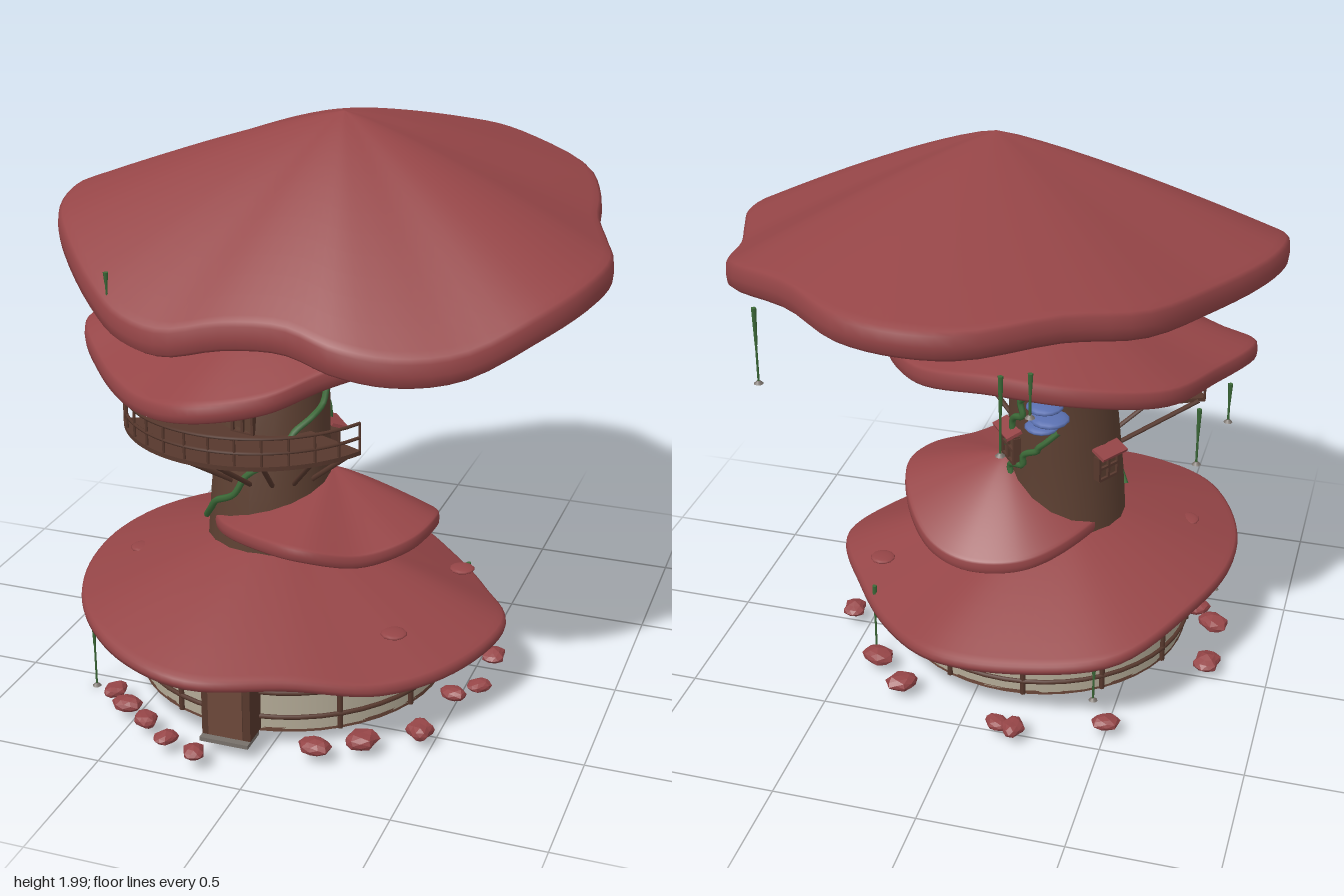
import * as THREE from 'three';

const mat = (name, color) => Object.assign(new THREE.MeshStandardMaterial({ color }), { name });
const V = (x, y, z) => new THREE.Vector3(x, y, z);

export function createModel() {
  const root = new THREE.Group();
  root.name = 'mushroomHouse';
  const red = mat('capRed', 0x954547);
  const bark = mat('barkBrown', 0x5d4032);
  const beam = mat('beamBrown', 0x57382d);
  const floorBrown = mat('floorBrown', 0x6c483a);
  const plaster = mat('plasterBeige', 0xb3aa96);
  const green = mat('vineGreen', 0x3c6a38);
  const blue = mat('fungusBlue', 0x5a70b0);
  const grey = mat('stoneGrey', 0x77706a);

  const add = (name, geo, m, pos, parent = root) => {
    const mesh = new THREE.Mesh(geo, m);
    mesh.name = name;
    if (pos) mesh.position.copy(pos);
    parent.add(mesh);
    return mesh;
  };
  // Straight bar between two points
  const bar = (name, a, b, r, m, sides = 6, r2 = r) => {
    const mesh = add(name, new THREE.CylinderGeometry(r2, r, a.distanceTo(b), sides), m, a.clone().lerp(b, 0.5));
    mesh.quaternion.setFromUnitVectors(V(0, 1, 0), b.clone().sub(a).normalize());
  };

  // Wavy cap: closed rim curve, domed top, rolled lip and hollow underside
  const cap = (name, apex, th, rimPts) => {
    const n = 96;
    const rim = new THREE.CatmullRomCurve3(rimPts.map(p => V(...p)), true).getPoints(n).slice(0, n);
    const section = [];
    for (let j = 0; j <= 12; j++) section.push([j * 0.08, 0]);
    section.push([0.985, 0], [0.998, -0.06], [1.002, -0.4], [0.998, -0.75], [0.98, -0.97], [0.955, -1], [0.92, -0.88]);
    for (let j = 8; j >= 0; j--) section.push([j * 0.11, -0.75]);
    const pos = [], idx = [];
    section.forEach(([t, d]) => rim.forEach(p => pos.push(
      apex.x + (p.x - apex.x) * t,
      apex.y - (apex.y - p.y) * Math.pow(t, 1.2) + d * th,
      apex.z + (p.z - apex.z) * t)));
    for (let j = 0; j < section.length - 1; j++) for (let i = 0; i < n; i++) {
      const k = (i + 1) % n, a = j * n + i, b = a + n, c = (j + 1) * n + k, e = j * n + k;
      idx.push(a, b, c, a, c, e);
    }
    const geo = new THREE.BufferGeometry();
    geo.setAttribute('position', new THREE.Float32BufferAttribute(pos, 3));
    geo.setIndex(idx);
    geo.computeVertexNormals();
    add(name, geo, red);
  };
  cap('topCap', V(0.02, 2, 0.06), 0.1, [
    [-0.125, 1.485, 0.79], [0.08, 1.5, 0.8], [0.26, 1.465, 0.84], [0.44, 1.44, 0.81], [0.625, 1.45, 0.71],
    [0.805, 1.53, 0.52], [0.905, 1.58, 0.335], [0.935, 1.605, 0.13], [0.88, 1.62, -0.05], [0.815, 1.64, -0.23],
    [0.78, 1.67, -0.415], [0.7, 1.72, -0.585], [0.45, 1.77, -0.77], [0.235, 1.77, -0.94], [0.04, 1.765, -0.98],
    [-0.155, 1.76, -0.94], [-0.41, 1.76, -0.75], [-0.62, 1.73, -0.6], [-0.775, 1.7, -0.31], [-0.905, 1.69, -0.035],
    [-0.94, 1.685, 0.13], [-0.91, 1.65, 0.3], [-0.825, 1.6, 0.43], [-0.645, 1.51, 0.62], [-0.5, 1.455, 0.73], [-0.33, 1.44, 0.79]]);
  cap('upperCap', V(-0.13, 1.5, 0.07), 0.068, [
    [-0.47, 1.17, 0.68], [-0.25, 1.195, 0.77], [-0.02, 1.23, 0.7], [0.13, 1.28, 0.55], [0.33, 1.33, 0.36],
    [0.38, 1.35, 0.12], [0.35, 1.33, -0.15], [0.18, 1.33, -0.37], [-0.1, 1.37, -0.46], [-0.38, 1.36, -0.45],
    [-0.64, 1.32, -0.3], [-0.76, 1.28, -0.02], [-0.85, 1.26, 0.25], [-0.71, 1.2, 0.46]]);
  cap('lowerCap', V(0, 0.77, 0.12), 0.05, [
    [-0.39, 0.61, 0.2], [-0.3, 0.645, 0.42], [-0.1, 0.665, 0.55], [0.05, 0.665, 0.58], [0.22, 0.625, 0.48],
    [0.35, 0.64, 0.33], [0.385, 0.65, 0.15], [0.33, 0.6, -0.02], [0.2, 0.54, -0.18], [0.05, 0.52, -0.24],
    [-0.15, 0.53, -0.2], [-0.31, 0.57, -0.03]]);
  cap('baseCap', V(-0.17, 0.6, 0.2), 0.045, [
    [-0.2, 0.345, 0.96], [0.1, 0.325, 0.83], [0.36, 0.275, 0.68], [0.55, 0.275, 0.45], [0.635, 0.295, 0.15],
    [0.5, 0.28, -0.1], [0.32, 0.275, -0.33], [0.1, 0.3, -0.5], [-0.2, 0.325, -0.53], [-0.53, 0.365, -0.45],
    [-0.73, 0.41, -0.15], [-0.82, 0.415, 0.15], [-0.8, 0.4, 0.45], [-0.66, 0.395, 0.73], [-0.45, 0.365, 0.9]]);
  // Low bumps on the base cap
  for (const [x, y, z] of [[0.34, 0.365, 0.48], [0.42, 0.36, -0.06], [-0.63, 0.46, 0.34]])
    add('capBump', new THREE.SphereGeometry(0.045, 12, 8).scale(1, 0.22, 1), red, V(x, y, z));

  // Leaning trunk: centre and radius at each height
  const keys = [[0.07, -0.2, 0.21, 0.25], [0.7, -0.2, 0.195, 0.21], [1.1, -0.19, 0.16, 0.185], [1.5, -0.14, 0.06, 0.172], [1.86, -0.08, 0.04, 0.165]];
  const trunkAt = y => {
    let i = 0;
    while (i < keys.length - 2 && y > keys[i + 1][0]) i++;
    const t = (y - keys[i][0]) / (keys[i + 1][0] - keys[i][0]);
    return [1, 2, 3].map(k => keys[i][k] + (keys[i + 1][k] - keys[i][k]) * t);
  };
  const onTrunk = (deg, y, out = 0) => {
    const [x, z, r] = trunkAt(y), a = deg * Math.PI / 180;
    return V(x + Math.sin(a) * (r + out), y, z + Math.cos(a) * (r + out));
  };
  const trunkGeo = new THREE.CylinderGeometry(1, 1, 1.75, 18, 16).translate(0, 0.945, 0);
  const tp = trunkGeo.attributes.position;
  for (let i = 0; i < tp.count; i++) {
    const [x, z, r] = trunkAt(tp.getY(i));
    tp.setXYZ(i, x + tp.getX(i) * r, tp.getY(i), z + tp.getZ(i) * r);
  }
  trunkGeo.computeVertexNormals();
  add('trunk', trunkGeo, bark);

  // Round base house
  const bx = -0.12, bz = 0.2, br = 0.54;
  const onBase = (a, r, y) => V(bx + Math.sin(a) * r, y, bz + Math.cos(a) * r);
  add('baseWall', new THREE.CylinderGeometry(br, br, 0.27, 48, 1, true), plaster, V(bx, 0.21, bz));
  add('baseFloor', new THREE.CylinderGeometry(br, br, 0.015, 48), floorBrown, V(bx, 0.073, bz));
  add('floorRing', new THREE.TorusGeometry(0.24, 0.008, 6, 32).rotateX(Math.PI / 2), beam, V(-0.17, 0.067, 0.2));
  for (const y of [0.125, 0.215])
    add('baseRail', new THREE.TorusGeometry(br + 0.008, 0.008, 6, 48).rotateX(Math.PI / 2), beam, V(bx, y, bz));
  for (let i = 0; i < 12; i++) {
    const a = (i * 30 + 7) * Math.PI / 180;
    bar('basePost', onBase(a, br + 0.004, 0.07), onBase(a, br + 0.004, 0.33), 0.01, beam);
  }
  add('wallShutter', new THREE.BoxGeometry(0.05, 0.035, 0.02), red, onBase(-1.02, br + 0.008, 0.335)).rotation.y = -1.02;

  // Entrance
  add('doorFrame', new THREE.BoxGeometry(0.17, 0.22, 0.1), beam, V(-0.12, 0.185, 0.775));
  add('door', new THREE.BoxGeometry(0.12, 0.18, 0.008), floorBrown, V(-0.12, 0.17, 0.828));
  add('doorStep', new THREE.BoxGeometry(0.17, 0.014, 0.1), grey, V(-0.12, 0.068, 0.8));

  // Windows with small awnings, set into the trunk
  const hatch = (name, deg, y, w, h) => {
    const g = new THREE.Group();
    g.name = name;
    g.position.copy(onTrunk(deg, y));
    g.rotation.y = deg * Math.PI / 180;
    root.add(g);
    add('pane', new THREE.BoxGeometry(w, h, 0.02), bark, V(0, 0, 0), g);
    for (const s of [-1, 0, 1]) add('frameUpright', new THREE.BoxGeometry(0.01, h, 0.03), beam, V(s * w / 2, 0, 0.005), g);
    for (const s of [-1, 0, 1]) add('frameBar', new THREE.BoxGeometry(w, 0.01, 0.03), beam, V(0, s * h / 2, 0.005), g);
    add('awning', new THREE.BoxGeometry(w + 0.03, 0.012, 0.06), red, V(0, h / 2 + 0.02, 0.02), g).rotation.x = 0.35;
  };
  hatch('sideWindow', 128, 0.84, 0.1, 0.1);
  hatch('rearWindow', -122, 0.8, 0.09, 0.09);
  hatch('topWindow', 145, 1.56, 0.08, 0.05);
  hatch('balconyDoor', -12, 1.05, 0.08, 0.19);
  add('doorLight', new THREE.SphereGeometry(0.018, 10, 8), blue, onTrunk(-12, 1.035, 0.015));

  // Balcony: floor sector, railing and struts
  const dx = -0.24, dz = 0.165, span = 64 * Math.PI / 180;
  const onDeck = (a, r, y) => V(dx + Math.sin(a) * r, y, dz + Math.cos(a) * r);
  const floor = new THREE.Shape();
  floor.absarc(0, 0, 0.475, Math.PI / 2 - span, Math.PI / 2 + span, false);
  floor.absarc(0, 0, 0.15, Math.PI / 2 + span, Math.PI / 2 - span, true);
  add('balconyFloor', new THREE.ExtrudeGeometry(floor, { depth: 0.015, bevelEnabled: false, curveSegments: 24 }).rotateX(Math.PI / 2), beam, V(dx, 0.955, dz));
  for (const y of [1.0, 1.05]) {
    const pts = Array.from({ length: 17 }, (_, i) => onDeck(-span + i / 16 * 2 * span, 0.47, y));
    add('balconyRail', new THREE.TubeGeometry(new THREE.CatmullRomCurve3(pts), 32, 0.006, 5), beam);
  }
  for (let i = 0; i <= 12; i++) {
    const a = -span + i / 12 * 2 * span;
    bar('balconyPost', onDeck(a, 0.47, 0.95), onDeck(a, 0.47, 1.05), 0.005, beam, 5);
  }
  for (let i = 0; i < 7; i++) {
    const a = (i / 6 * 2 - 1) * span;
    bar('balconyStrut', onTrunk(a * 57.3, 0.78, -0.01), onDeck(a, 0.45, 0.945), 0.009, beam);
  }

  // Vines winding round the trunk
  const vine = (a0, a1, y0, y1) => {
    const pts = [];
    for (let i = 0; i <= 14; i++) {
      const t = i / 14;
      pts.push(onTrunk(a0 + (a1 - a0) * t + 5 * Math.sin(i * 2.4), y0 + (y1 - y0) * t + 0.012 * Math.sin(i * 1.9), 0.008));
    }
    add('vine', new THREE.TubeGeometry(new THREE.CatmullRomCurve3(pts), 60, 0.012, 6), green);
  };
  vine(-65, 150, 0.6, 1.3);
  vine(80, 185, 0.55, 0.95);
  vine(110, 190, 0.8, 1.28);
  vine(-60, -25, 1.08, 1.22);

  // Blue shelf fungi
  for (const [x, y, z, r] of [[-0.18, 1.07, -0.05, 0.065], [-0.2, 1.03, -0.06, 0.07], [-0.17, 0.99, -0.05, 0.06],
    [0.1, 0.57, 0.155, 0.075], [0.04, 0.535, 0.06, 0.04]])
    add('shelfFungus', new THREE.SphereGeometry(r, 14, 8).scale(1, 0.25, 1), blue, V(x, y, z));

  // Hanging strands: x, z, bottom, top
  for (const [x, z, y0, y1] of [[0.64, -0.56, 1.31, 1.57], [-0.56, 0.66, 1.49, 1.57], [-0.23, -0.8, 1.31, 1.57],
    [-0.31, -0.76, 1.43, 1.57], [-0.72, -0.13, 0.98, 1.18], [-0.78, 0.15, 1.0, 1.14], [-0.72, 0.57, 0.02, 0.32],
    [0.41, -0.19, 0.04, 0.32], [-0.45, -0.39, 0.14, 0.3]]) {
    const mid = y0 + (y1 - y0) * 0.5;
    bar('strandTop', V(x, mid, z), V(x, y1, z), 0.005, green, 5, 0.009);
    bar('strandThread', V(x, y0, z), V(x, mid, z), 0.004, green, 4);
    add('strandTip', new THREE.CylinderGeometry(0.006, 0.016, 0.01, 8), grey, V(x, y0 - 0.003, z));
  }

  // Low red rocks around the base: x, z
  const rocks = [[-0.52, 0.73], [-0.31, 0.88], [-0.19, 0.93], [0.17, 0.77], [0.3, 0.68], [0.46, 0.56], [0.5, 0.3],
    [0.57, 0.22], [0.56, 0], [0.38, -0.26], [0.25, -0.39], [-0.2, -0.53], [-0.14, -0.52], [-0.5, -0.42],
    [-0.78, 0.02], [-0.76, 0.27], [-0.68, 0.35], [-0.6, 0.66], [-0.42, 0.8]];
  rocks.forEach(([x, z], i) => {
    const geo = new THREE.IcosahedronGeometry(0.046 + 0.007 * Math.sin(i * 5.1), 1).scale(1.15, 0.55, 0.9);
    const p = geo.attributes.position;
    for (let k = 0; k < p.count; k++) {
      const f = 1 + 0.14 * Math.sin(p.getX(k) * 90 + i) * Math.cos(p.getZ(k) * 80);
      p.setXYZ(k, p.getX(k) * f, p.getY(k) * f, p.getZ(k) * f);
    }
    geo.computeVertexNormals();
    add('rock', geo, red, V(x, 0.07, z)).rotation.y = i;
  });
  return root;
}
